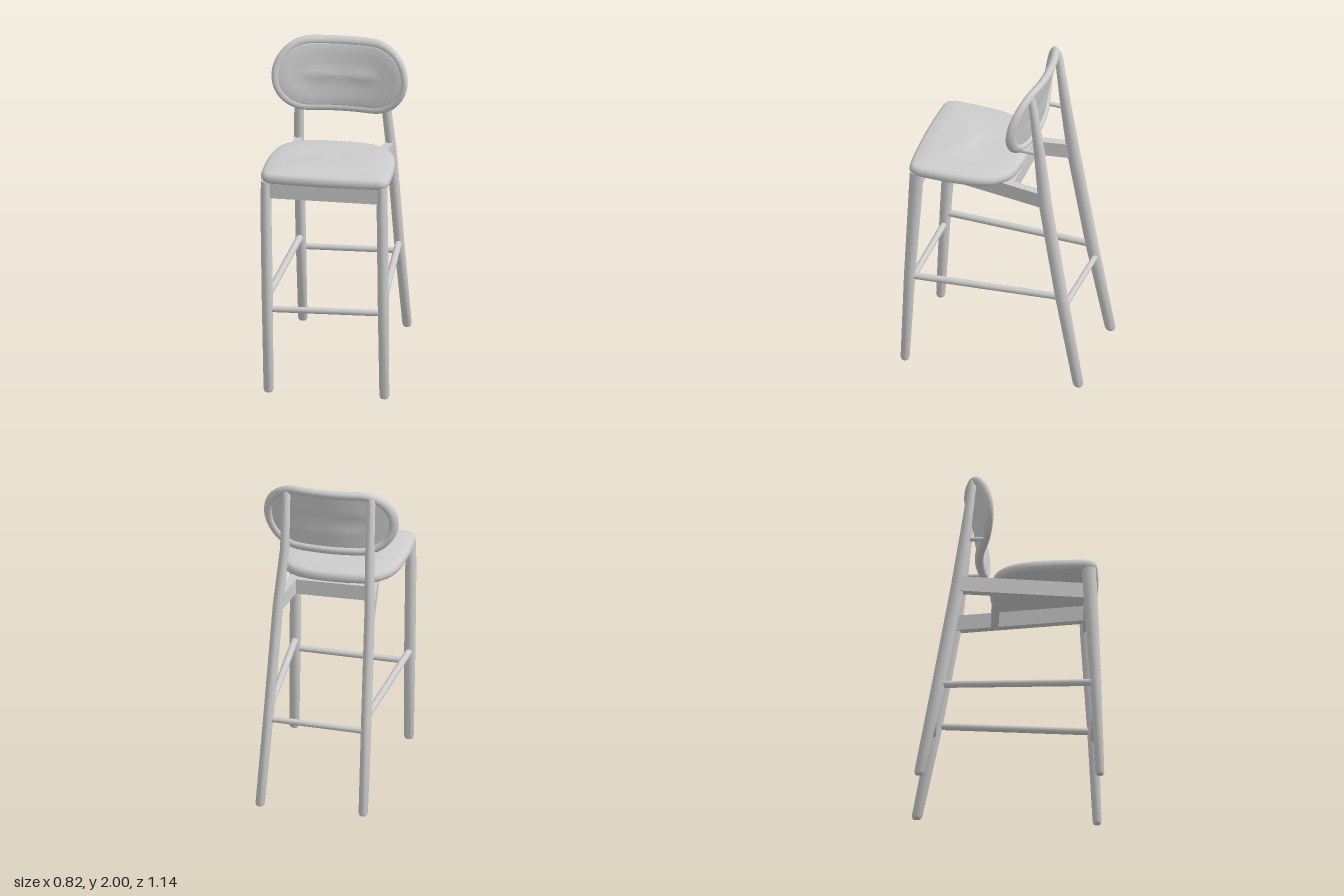
import * as THREE from 'three';
import { toCreasedNormals } from 'three/addons/utils/BufferGeometryUtils.js';

const V = (x, y, z) => new THREE.Vector3(x, y, z);

// Skin a list of equal-length rings; capped at both ends, or joined end to start.
function loft(rings, joined = false) {
  const n = rings[0].length, m = rings.length, pos = [], idx = [];
  rings.forEach(r => r.forEach(p => pos.push(p.x, p.y, p.z)));
  for (let i = 0; i < (joined ? m : m - 1); i++) {
    for (let j = 0; j < n; j++) {
      const k = (j + 1) % n, i2 = (i + 1) % m;
      const a = i * n + j, b = i * n + k, c = i2 * n + k, d = i2 * n + j;
      idx.push(a, d, c, a, c, b);
    }
  }
  if (!joined) {
    [0, m - 1].forEach((i, end) => {
      const c = V(0, 0, 0);
      rings[i].forEach(p => c.addScaledVector(p, 1 / n));
      const ci = pos.length / 3;
      pos.push(c.x, c.y, c.z);
      for (let j = 0; j < n; j++) {
        const a = i * n + j, b = i * n + (j + 1) % n;
        if (end) idx.push(ci, b, a); else idx.push(ci, a, b);
      }
    });
  }
  const g = new THREE.BufferGeometry();
  g.setAttribute('position', new THREE.Float32BufferAttribute(pos, 3));
  g.setIndex(idx);
  return toCreasedNormals(g, 0.8);
}

// Tapered leg from stations [x, y, z, halfWidth, halfDepth]
function legGeometry(stations) {
  return loft(stations.map(([x, y, z, rx, rz]) => Array.from({ length: 20 }, (_, j) => {
    const a = j / 20 * Math.PI * 2;
    return V(x + rx * Math.cos(a), y, z + rz * Math.sin(a));
  })));
}

// Rounded-end oval outline, running clockwise
function oval(straight, r) {
  const p = new THREE.Path();
  p.absarc(straight, 0, r, Math.PI / 2, -Math.PI / 2, true);
  p.absarc(-straight, 0, r, -Math.PI / 2, -Math.PI * 1.5, true);
  p.closePath();
  return p.getSpacedPoints(80).slice(0, 80);
}

// Lean and wrap the backrest: flat coordinates to final place
const BACK_Y = 1.773;
const bend = (x, y, z) => V(x, y + BACK_Y, z - 0.2 - 0.16 * y + 0.5 * x * x);

export function createModel() {
  const group = new THREE.Group();
  const grey = new THREE.MeshStandardMaterial({ color: 0xcccccc });
  grey.name = 'lightGrey';

  function add(name, geometry) {
    const mesh = new THREE.Mesh(geometry, grey);
    mesh.name = name;
    group.add(mesh);
    return mesh;
  }
  function rod(name, a, b, r) {
    const mesh = add(name, new THREE.CylinderGeometry(r, r, a.distanceTo(b), 16));
    mesh.position.copy(a).lerp(b, 0.5);
    mesh.quaternion.setFromUnitVectors(V(0, 1, 0), b.clone().sub(a).normalize());
  }
  function beam(name, a, b, w, h) {
    const mesh = add(name, new THREE.BoxGeometry(w, h, a.distanceTo(b)));
    mesh.position.copy(a).lerp(b, 0.5);
    mesh.lookAt(b);
  }

  // Legs, with slightly different splay on each side
  for (const [side, foot, top] of [['Left', 0.37, 0.348], ['Right', -0.33, -0.355]]) {
    add('frontLeg' + side, legGeometry([
      [foot, 0, 0.545, 0.024, 0.022],
      [foot, 0.015, 0.545, 0.03, 0.027],
      [foot + (top - foot) * 0.45, 0.6, 0.52, 0.034, 0.034],
      [top, 1.2, 0.487, 0.033, 0.042],
      [top, 1.345, 0.48, 0.03, 0.042]]));
  }
  for (const [side, foot, mid, top] of [['Left', 0.345, 0.285, 0.255], ['Right', -0.285, -0.275, -0.265]]) {
    add('backLeg' + side, legGeometry([
      [foot, 0.01, -0.535, 0.022, 0.024],
      [foot, 0.025, -0.532, 0.028, 0.032],
      [foot + (mid - foot) * 0.5, 0.6, -0.42, 0.031, 0.04],
      [mid, 1.25, -0.305, 0.031, 0.041],
      [top, 1.6, -0.258, 0.028, 0.033],
      [top, 1.93, -0.216, 0.025, 0.024],
      [top, 1.96, -0.214, 0.016, 0.014]]));
  }

  // Stretchers
  rod('frontStretcher', V(-0.33, 0.525, 0.522), V(0.36, 0.54, 0.522), 0.019);
  rod('backStretcher', V(-0.28, 0.525, -0.445), V(0.32, 0.54, -0.435), 0.018);
  rod('sideStretcherLeft', V(0.358, 0.6, 0.515), V(0.313, 0.605, -0.415), 0.021);
  rod('sideStretcherRight', V(-0.342, 0.6, 0.515), V(-0.28, 0.605, -0.415), 0.021);

  // Seat support: front apron, converging rails and a cross rail
  beam('frontApron', V(-0.345, 1.288, 0.482), V(0.345, 1.288, 0.482), 0.05, 0.1);
  for (const [side, s] of [['Left', 1], ['Right', -1]]) {
    beam('seatRail' + side, V(0.28 * s, 1.262, -0.3), V(0.16 * s, 1.28, 0.47), 0.05, 0.095);
  }
  beam('crossRail', V(-0.23, 1.265, -0.07), V(0.23, 1.265, -0.07), 0.045, 0.095);

  // Padded seat: half outline mirrored, then stacked in rounded layers
  const half = [[0.16, 0.54], [0.3, 0.532], [0.36, 0.52], [0.385, 0.48], [0.39, 0.4], [0.386, 0.25],
    [0.365, 0.1], [0.32, 0], [0.235, -0.07], [0.12, -0.097]];
  const outline = [[0, 0.543], ...half, [0, -0.102], ...half.map(([x, z]) => [-x, z]).reverse()];
  const seatCurve = new THREE.CatmullRomCurve3(outline.map(([x, z]) => V(x, 0, z)).reverse(), true);
  const seatEdge = seatCurve.getPoints(96).slice(0, 96);
  const layers = [[0.5, 1.334], [0.93, 1.334], [0.975, 1.341], [0.995, 1.354], [1, 1.368], [0.99, 1.384],
    [0.965, 1.396], [0.92, 1.402], [0.7, 1.408], [0.4, 1.411], [0.12, 1.412]];
  add('seatCushion', loft(layers.map(([s, y]) => seatEdge.map(p =>
    V(p.x * s, y - 0.018 * (0.54 - p.z) / 0.64, 0.22 + (p.z - 0.22) * s)))));

  // Backrest frame: oval section swept around a bent oval
  const S = 0.185, R = 0.2;
  add('backrestFrame', loft(oval(S, R).map(p => {
    const nx = (p.x - THREE.MathUtils.clamp(p.x, -S, S)) / R, ny = p.y / R;
    return Array.from({ length: 16 }, (_, j) => {
      const a = j / 16 * Math.PI * 2, w = 0.027 * Math.cos(a);
      return bend(p.x + nx * w, p.y + ny * w, -0.026 * Math.sin(a));
    });
  }), true));

  // Backrest panel: thin pad set into the frame, back to front
  const pad = [[0.05, -0.006], [0.09, -0.006], [0.14, -0.006], [0.188, -0.006], [0.192, 0.015],
    [0.188, 0.022], [0.18, 0.025], [0.13, 0.026], [0.08, 0.026], [0.03, 0.026]];
  add('backrestPanel', loft(pad.map(([r, z]) =>
    oval(S, 0.2).map(p => bend(p.x * (r + S) / (0.2 + S), p.y * r / 0.2, z)))));

  // Short pegs joining the lower frame to the back legs
  for (const [side, x] of [['Left', 0.258], ['Right', -0.265]]) {
    rod('backrestPeg' + side, V(x, 1.575, -0.13), V(x, 1.57, -0.26), 0.014);
  }
  return group;
}
